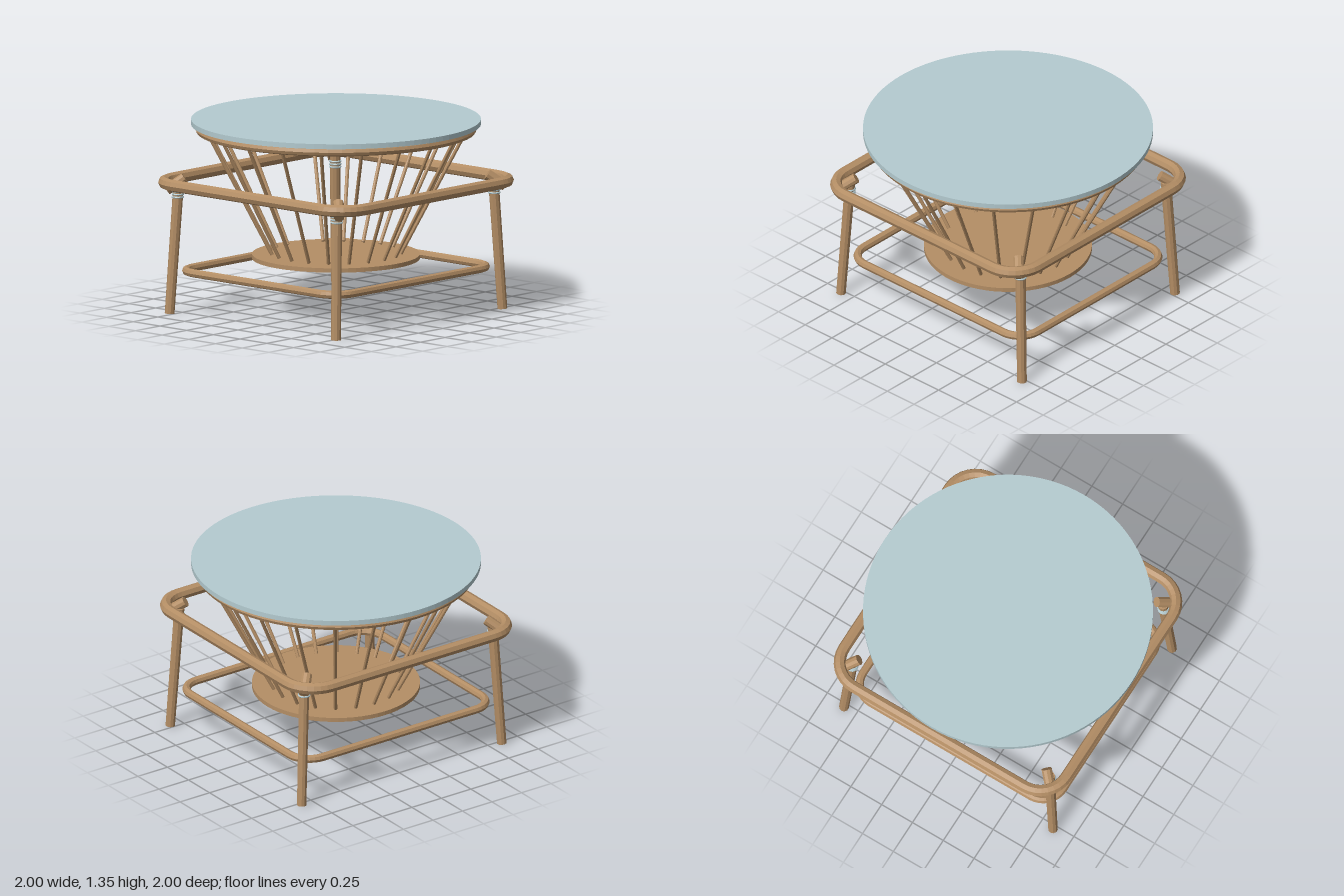
import * as THREE from 'three';

const wood = new THREE.MeshStandardMaterial({ color: 0xb48e65, flatShading: true });
wood.name = 'wood';
const glass = new THREE.MeshStandardMaterial({ color: 0xb4cbd0, flatShading: true });
glass.name = 'pale blue';

function add(group, name, geometry, material) {
  const mesh = new THREE.Mesh(geometry, material);
  mesh.name = name;
  group.add(mesh);
  return mesh;
}

// Straight rod between two points
function rod(a, b, rBottom, rTop, sides) {
  const dir = b.clone().sub(a);
  const g = new THREE.CylinderGeometry(rTop, rBottom, dir.length(), sides);
  g.applyQuaternion(new THREE.Quaternion().setFromUnitVectors(
    new THREE.Vector3(0, 1, 0), dir.clone().normalize()));
  const mid = a.clone().add(b).multiplyScalar(0.5);
  return g.translate(mid.x, mid.y, mid.z);
}

// Closed tube following a rounded rectangle, lying flat
function roundedRail(halfX, halfZ, corner, r, y) {
  const sides = 8, steps = 8, pos = [], index = [];
  const signs = [[1, 1], [-1, 1], [-1, -1], [1, -1]];
  signs.forEach(([sx, sz], q) => {
    for (let k = 0; k <= steps; k++) {
      const a = (q + k / steps) * Math.PI / 2;
      for (let j = 0; j < sides; j++) {
        const b = j / sides * Math.PI * 2;
        const d = corner + r * Math.cos(b);
        pos.push(sx * (halfX - corner) + d * Math.cos(a), y + r * Math.sin(b),
          sz * (halfZ - corner) + d * Math.sin(a));
      }
    }
  });
  const rings = signs.length * (steps + 1);
  for (let i = 0; i < rings; i++) {
    const n = (i + 1) % rings;
    for (let j = 0; j < sides; j++) {
      const m = (j + 1) % sides;
      const p = i * sides + j, pb = i * sides + m, pa = n * sides + j, pab = n * sides + m;
      index.push(p, pb, pa, pb, pab, pa);
    }
  }
  const g = new THREE.BufferGeometry();
  g.setAttribute('position', new THREE.Float32BufferAttribute(pos, 3));
  g.setIndex(index);
  g.computeVertexNormals();
  return g;
}

export function createModel() {
  const model = new THREE.Group();
  model.name = 'spindleTable';
  const V = (x, y, z) => new THREE.Vector3(x, y, z);

  // Round top and the hoop beneath it
  add(model, 'tableTop', new THREE.CylinderGeometry(1, 1, 0.035, 96).translate(0, 1.328, 0), glass);
  add(model, 'topHoop', new THREE.TorusGeometry(0.942, 0.03, 8, 64)
    .rotateX(Math.PI / 2).translate(0, 1.28, 0), wood);

  // Flaring spindles
  const spindles = new THREE.Group();
  spindles.name = 'spindles';
  model.add(spindles);
  for (let i = 0; i < 20; i++) {
    const a = i / 20 * Math.PI * 2, s = Math.sin(a), c = Math.cos(a);
    add(spindles, 'spindle', rod(V(0.45 * s, 0.41, 0.45 * c), V(0.905 * s, 1.28, 0.905 * c),
      0.0125, 0.0125, 8), wood);
  }

  // Lower disc and the two frames
  add(model, 'baseDisc', new THREE.CylinderGeometry(0.58, 0.58, 0.03, 64).translate(0, 0.386, 0), wood);
  add(model, 'upperRail', roundedRail(0.9, 0.9, 0.21, 0.042, 0.91), wood);
  add(model, 'lowerRail', roundedRail(0.81, 0.748, 0.16, 0.029, 0.298), wood);

  // Legs with collars, and pegs joining them to the upper rail
  for (const sx of [1, -1]) for (const sz of [1, -1]) {
    const leg = new THREE.Group();
    leg.name = 'leg';
    model.add(leg);
    const foot = V(sx * 0.848, 0, sz * 0.779), head = V(sx * 0.798, 0.9, sz * 0.741);
    add(leg, 'legPost', rod(foot, head, 0.034, 0.037, 10), wood);
    add(leg, 'legPeg', rod(V(sx * 0.847, 0.862, sz * 0.807), V(sx * 0.76, 0.945, sz * 0.72),
      0.037, 0.037, 10), wood);
    for (const y of [0.815, 0.835, 0.855]) {
      const collar = add(leg, 'collar', new THREE.TorusGeometry(0.037, 0.007, 6, 20).rotateX(Math.PI / 2), glass);
      collar.position.lerpVectors(foot, head, y / 0.9);
    }
  }
  return model;
}
